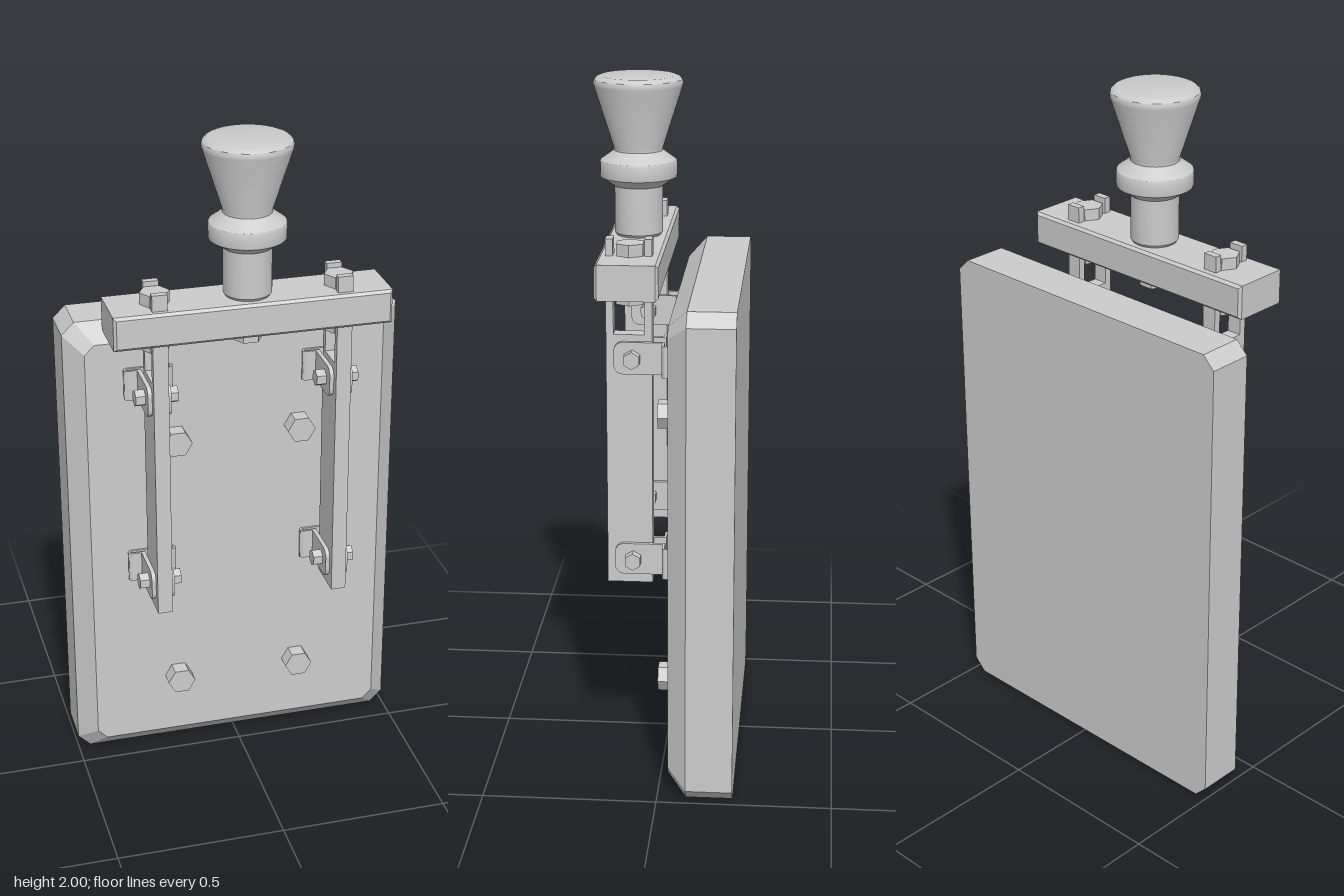
import * as THREE from 'three';
import { toCreasedNormals } from 'three/addons/utils/BufferGeometryUtils.js';
import { ConvexGeometry } from 'three/addons/geometries/ConvexGeometry.js';

const MID_Z = 0.087;   // depth of the handle, bar and blades
const BLADE_X = 0.266;

export function createModel() {
  const model = new THREE.Group();
  model.name = 'knifeSwitch';
  const mat = new THREE.MeshStandardMaterial({ color: 0xcccccc });

  const add = (name, geo, x = 0, y = 0, z = 0, parent = model) => {
    const mesh = new THREE.Mesh(geo, mat);
    mesh.name = name;
    mesh.position.set(x, y, z);
    parent.add(mesh);
    return mesh;
  };
  // Extrusion centred on its own depth
  const extrude = (shape, depth, curveSegments = 8) =>
    toCreasedNormals(new THREE.ExtrudeGeometry(shape, { depth, curveSegments, bevelEnabled: false })
      .translate(0, 0, -depth / 2), 0.6);
  // Profile drawn as (z, y), extruded along x
  const extrudeX = (shape, depth) => extrude(shape, depth).rotateY(-Math.PI / 2);
  // Hexagonal prism along y with corners on the x axis
  const hex = (r, h) => toCreasedNormals(new THREE.CylinderGeometry(r, r, h, 6).rotateY(Math.PI / 2), 0.3);

  // Base slab: octagonal outline with a bevelled front rim
  const octagon = (inset, z) => {
    const w = 0.5 - inset, h = 0.72 - inset, c = 0.037 - inset * 0.15, pts = [];
    for (const sx of [-1, 1]) for (const sy of [-1, 1]) {
      pts.push(new THREE.Vector3(sx * w, sy * (h - c), z), new THREE.Vector3(sx * (w - c), sy * h, z));
    }
    return pts;
  };
  add('base', toCreasedNormals(new ConvexGeometry(
    [...octagon(0, -0.217), ...octagon(0, -0.083), ...octagon(0.054, -0.029)]), 0.1), 0, 0.72, 0);

  // Mounting bolts on the base
  for (const x of [-0.187, 0.187]) for (const y of [0.25, 1.065]) {
    add('baseBolt', hex(0.042, 0.05).rotateX(Math.PI / 2), x, y, -0.008);
  }

  // Crossbar with small chamfers
  const b = 0.008, bw = 0.4 - b, bh = 0.05 - b;
  const bar = new THREE.Shape([[-bw, -bh], [bw, -bh], [bw, bh], [-bw, bh]].map(p => new THREE.Vector2(...p)));
  add('crossbar', toCreasedNormals(new THREE.ExtrudeGeometry(bar, {
    depth: 0.175 - 2 * b, bevelThickness: b, bevelSize: b, bevelSegments: 1,
  }).translate(0, 0, -0.0875 + b), 0.3), 0, 1.497, MID_Z);

  // Turned handle with collar and flared knob
  const profile = [[0, 1.545], [0.062, 1.545], [0.069, 1.555], [0.069, 1.69], [0.072, 1.69], [0.109, 1.715],
    [0.11, 1.72], [0.11, 1.757], [0.108, 1.762], [0.076, 1.785], [0.07, 1.79], [0.07, 1.797],
    [0.126, 1.972], [0.127, 1.981], [0.124, 1.99], [0.116, 1.997], [0.107, 2], [0, 2]];
  add('handle', toCreasedNormals(new THREE.LatheGeometry(
    profile.map(p => new THREE.Vector2(...p)), 40), 0.5), 0, 0, MID_Z);
  add('handleNut', hex(0.043, 0.038), 0, 1.43, MID_Z);

  // Blade: a flat bar forked at the top around its bolt
  const blade = new THREE.Shape([[0.025, 0.59], [0.154, 0.59], [0.154, 1.594], [0.133, 1.594],
    [0.133, 1.325], [0.046, 1.325], [0.046, 1.594], [0.025, 1.594]].map(p => new THREE.Vector2(...p)));

  // Clip foot: a flattened strip loop open behind the blade, drawn as (x, z)
  const g = 0.022, w = 0.06, r = 0.012, t = 0.007, m = -0.016, H = Math.PI / 2;
  const foot = new THREE.Shape();
  foot.moveTo(g, m + r);
  foot.lineTo(w, m + r);
  foot.absarc(w, m, r, H, -H, true);
  foot.lineTo(-w, m - r);
  foot.absarc(-w, m, r, -H, -3 * H, true);
  foot.lineTo(-g, m + r);
  foot.lineTo(-g, m + r - t);
  foot.lineTo(-w, m + r - t);
  foot.absarc(-w, m, r - t, H, 3 * H, false);
  foot.lineTo(w, m - r + t);
  foot.absarc(w, m, r - t, -H, H, false);
  foot.lineTo(g, m + r - t);

  // Clip jaw: plate with rounded front corners, drawn as (z, y)
  const jh = 0.046, jr = 0.026, jz = 0.132;
  const jaw = new THREE.Shape();
  jaw.moveTo(m + r - t, -jh);
  jaw.lineTo(jz - jr, -jh);
  jaw.absarc(jz - jr, -jh + jr, jr, -H, 0, false);
  jaw.absarc(jz - jr, jh - jr, jr, 0, H, false);
  jaw.lineTo(m + r - t, jh);

  for (const x of [-BLADE_X, BLADE_X]) {
    add('blade', extrudeX(blade, 0.044), x);
    add('bladeNutTop', hex(0.043, 0.036), x, 1.563, MID_Z);
    add('bladeNutBottom', hex(0.043, 0.038), x, 1.43, MID_Z);

    for (const y of [0.665, 1.26]) {
      const clip = new THREE.Group();
      clip.name = 'clip';
      clip.position.set(x, y, 0);
      model.add(clip);
      add('clipFoot', extrude(foot, 2 * jh).rotateX(H), 0, 0, 0, clip);
      for (const s of [-1, 1]) {
        add('clipJaw', extrudeX(jaw, 0.012), s * 0.028, 0, 0, clip);
        add('clipBolt', hex(0.025, 0.028).rotateZ(H), s * 0.048, 0, 0.08, clip);
      }
    }
  }
  return model;
}
